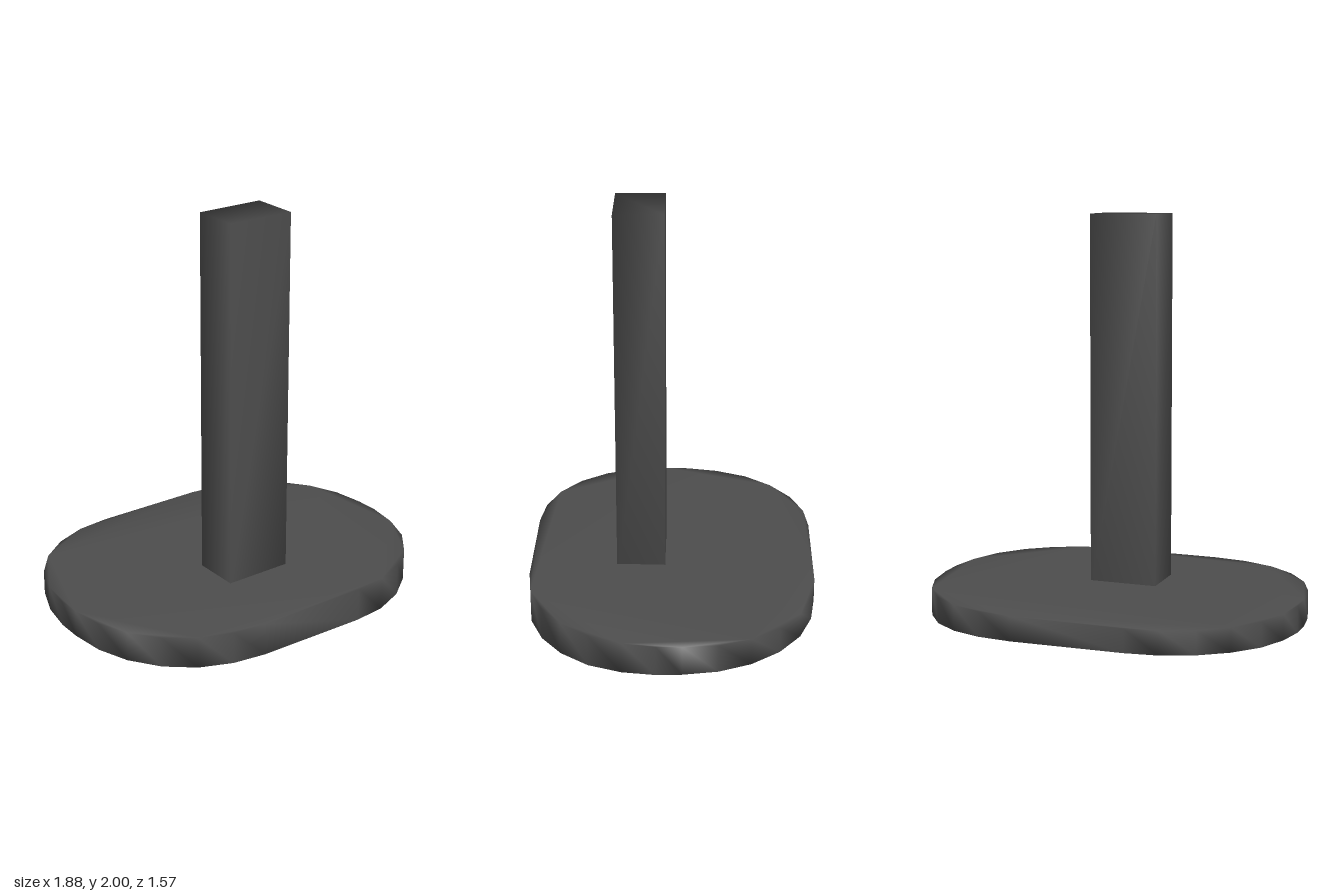
import * as THREE from 'three';
import { mergeVertices } from 'three/addons/utils/BufferGeometryUtils.js';

// Weld the corners so shading flows over the edges
function smooth(geometry) {
  geometry.deleteAttribute('normal');
  geometry.deleteAttribute('uv');
  const welded = mergeVertices(geometry, 1e-4);
  welded.clearGroups();
  welded.computeVertexNormals();
  return welded;
}

export function createModel() {
  const group = new THREE.Group();
  const material = new THREE.MeshStandardMaterial({ color: 0x4d4d4d });

  // Half of the base outline as [x, z]; the other half is a half turn of it
  const half = [
    [-0.94, -0.01], [-0.92, -0.18], [-0.89, -0.30], [-0.825, -0.45], [-0.725, -0.59],
    [-0.59, -0.695], [-0.435, -0.76], [-0.265, -0.783], [-0.10, -0.76], [0.45, -0.615],
    [0.61, -0.55], [0.75, -0.45], [0.855, -0.315], [0.92, -0.155],
  ];
  const outline = [...half, ...half.map(([x, z]) => [-x, -z])];
  const shape = new THREE.Shape(outline.map(([x, z]) => new THREE.Vector2(x, -z)));

  // Base plate, thicker at the front than at the back
  const plate = new THREE.ExtrudeGeometry(shape, { depth: 1, bevelEnabled: false });
  plate.rotateX(-Math.PI / 2);
  const pos = plate.attributes.position;
  for (let i = 0; i < pos.count; i++) {
    const t = (pos.getZ(i) + 0.783) / 1.566;
    const bottom = THREE.MathUtils.lerp(0.03, 0, t);
    const top = THREE.MathUtils.lerp(0.145, 0.17, t);
    pos.setY(i, pos.getY(i) > 0.5 ? top : bottom);
  }
  const base = new THREE.Mesh(smooth(plate), material);
  base.name = 'base';

  // Square-edged column, turned in line with the base
  const column = new THREE.Mesh(smooth(new THREE.BoxGeometry(0.345, 1.9, 0.243)), material);
  column.name = 'column';
  column.position.set(-0.045, 1.05, 0.152);
  column.rotation.y = -0.252;

  group.add(base, column);
  return group;
}
